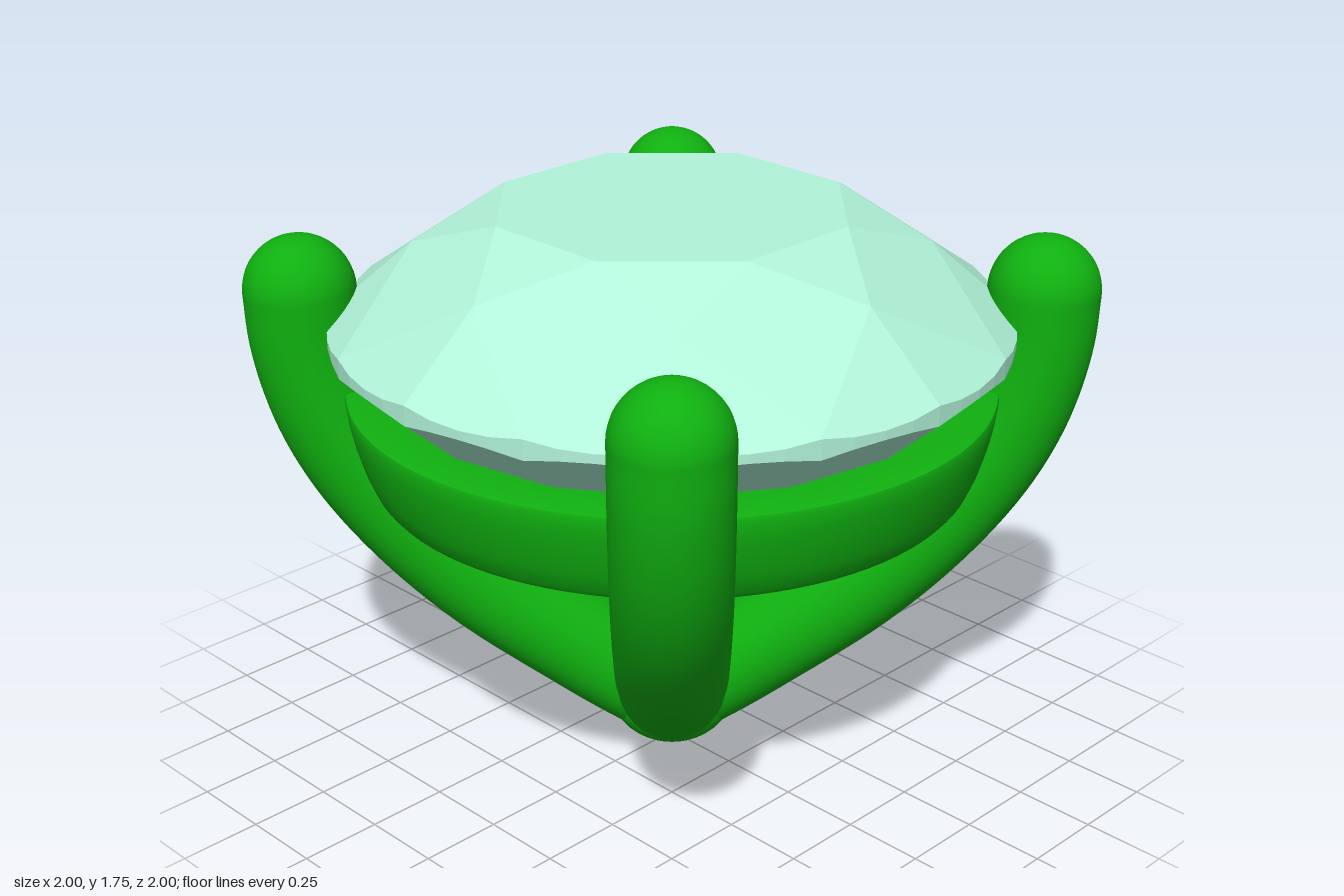
import * as THREE from 'three';
import { toCreasedNormals } from 'three/addons/utils/BufferGeometryUtils.js';

const GREEN = 0x10b010, AQUA = 0xb2f4da;

function addMesh(parent, name, geometry, material) {
  const mesh = new THREE.Mesh(geometry, material);
  mesh.name = name;
  parent.add(mesh);
  return mesh;
}

// Point from radius, angle in degrees and height
function polar(r, deg, y) {
  const a = THREE.MathUtils.degToRad(deg);
  return new THREE.Vector3(r * Math.cos(a), y, r * Math.sin(a));
}

// Round brilliant: table, stars, kites, halves, scalloped girdle, pavilion
function gemGeometry() {
  const positions = [], centre = new THREE.Vector3(0, 1.25, 0);
  const tri = (a, b, c) => {
    const n = b.clone().sub(a).cross(c.clone().sub(a));
    const corners = n.dot(a.clone().sub(centre)) > 0 ? [a, b, c] : [a, c, b];
    corners.forEach(p => positions.push(p.x, p.y, p.z));
  };
  const top = 1.755, culet = polar(0, 0, 0.515), tableCentre = polar(0, 0, top);
  const crownY = 1.43, pavilionY = 1.37, half = THREE.MathUtils.degToRad(11.25);
  const steps = 4;
  // Girdle edge follows the plane of each half facet where it meets the round wall
  const edgeY = (base, slope, t) =>
    base + slope * (Math.cos(half * (2 * t - 1)) - Math.cos(half));

  for (let k = 0; k < 8; k++) {
    const mid = k * 45 + 22.5;
    const table = polar(0.53, mid, top), nextTable = polar(0.53, mid + 45, top);
    const crownTip = polar(1, mid, crownY), pavilionTip = polar(1, mid, pavilionY);
    tri(tableCentre, table, nextTable);
    tri(table, nextTable, polar(0.75, mid + 22.5, 1.642));

    for (const side of [-1, 1]) {
      const star = polar(0.75, mid + side * 22.5, 1.642);
      const lower = polar(0.2, mid + side * 22.5, 0.673);
      tri(table, star, crownTip);
      tri(culet, lower, pavilionTip);
      const arc = i => {
        const deg = mid + side * 22.5 * i / steps;
        return [polar(1, deg, edgeY(crownY, -0.864, i / steps)),
          polar(1, deg, edgeY(pavilionY, 0.89, i / steps))];
      };
      for (let i = 0; i < steps; i++) {
        const [u0, l0] = arc(i), [u1, l1] = arc(i + 1);
        tri(star, u0, u1);
        tri(lower, l0, l1);
        tri(u0, u1, l1);
        tri(u0, l1, l0);
      }
    }
  }
  const g = new THREE.BufferGeometry();
  g.setAttribute('position', new THREE.Float32BufferAttribute(positions, 3));
  g.computeVertexNormals();
  return g;
}

export function createModel() {
  const model = new THREE.Group();
  model.name = 'gemSetting';
  const metal = new THREE.MeshStandardMaterial({ color: GREEN });
  const stone = new THREE.MeshStandardMaterial({ color: AQUA, flatShading: true });

  addMesh(model, 'gem', gemGeometry(), stone);

  // Supporting band with a curved outer wall and a conical seat
  const profile = [
    [0.655, 0.945], [0.865, 0.94], [0.882, 0.944], [0.895, 0.96], [0.92, 1.02],
    [0.94, 1.09], [0.953, 1.15], [0.96, 1.205], [0.957, 1.216], [0.945, 1.22],
    [0.8, 1.22], [0.655, 0.945],
  ].map(([x, y]) => new THREE.Vector2(x, y));
  addMesh(model, 'seatBand', toCreasedNormals(new THREE.LatheGeometry(profile, 96), 0.6), metal);

  // Four prongs rising along the diagonals, each with a rounded tip
  const R = 0.165;
  const points = [
    [0, 0.165], [0.1, 0.25], [0.2, 0.345], [0.4, 0.55], [0.55, 0.755], [0.66, 0.96],
    [0.725, 1.15], [0.758, 1.34], [0.765, 1.495],
  ].map(([d, y]) => new THREE.Vector3(d, y, d));
  const tube = new THREE.TubeGeometry(new THREE.CatmullRomCurve3(points), 64, R, 32);
  const ball = new THREE.SphereGeometry(R, 32, 24);
  for (let i = 0; i < 4; i++) {
    const prong = new THREE.Group();
    prong.name = 'prong' + (i + 1);
    prong.rotation.y = i * Math.PI / 2;
    addMesh(prong, 'prongArm', tube, metal);
    addMesh(prong, 'prongTip', ball, metal).position.copy(points[points.length - 1]);
    model.add(prong);
  }

  // Rounded foot where the prongs meet
  const foot = addMesh(model, 'foot', ball, metal);
  foot.position.y = R;
  foot.scale.set(1.2, 1, 1.2);

  return model;
}
